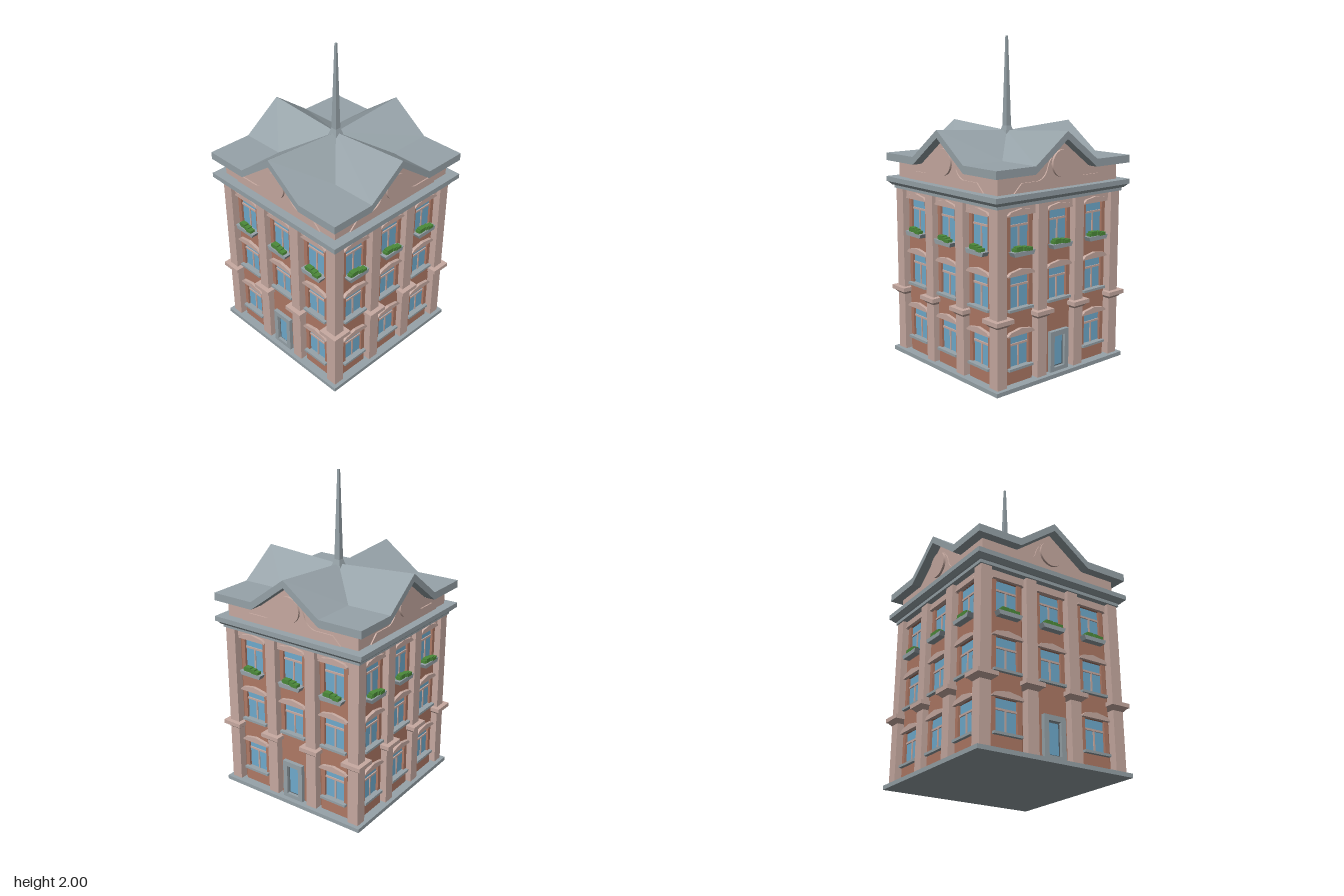
import * as THREE from 'three';

const colour = (name, hex) => {
  const m = new THREE.MeshStandardMaterial({ color: hex });
  m.name = name;
  return m;
};

export function createModel() {
  const slate = colour('slate grey', 0x97a3a9);
  const stone = colour('pink stone', 0xc8aba2);
  const brick = colour('brick', 0xb07a66);
  const darkBrick = colour('dark brick', 0x9a6753);
  const glass = colour('window glass', 0x70acce);
  const iron = colour('dark grey', 0x59656b);
  const leaf = colour('leaf green', 0x4c8a3a);

  const model = new THREE.Group();
  model.name = 'townHouse';

  const add = (parent, name, geometry, material) => {
    const mesh = new THREE.Mesh(geometry, material);
    mesh.name = name;
    parent.add(mesh);
    return mesh;
  };
  const box = (parent, name, mat, x0, x1, y0, y1, z0, z1) =>
    add(parent, name, new THREE.BoxGeometry(x1 - x0, y1 - y0, z1 - z0), mat)
      .position.set((x0 + x1) / 2, (y0 + y1) / 2, (z0 + z1) / 2);
  // square block with different top and bottom sizes, flat sides
  const taper = (parent, name, mat, x, y0, y1, z, halfTop, halfBottom) => {
    const g = new THREE.CylinderGeometry(halfTop * Math.SQRT2, halfBottom * Math.SQRT2, y1 - y0, 4)
      .rotateY(Math.PI / 4).toNonIndexed();
    g.computeVertexNormals();
    add(parent, name, g, mat).position.set(x, (y0 + y1) / 2, z);
  };
  const outline = (points) => new THREE.Shape(points.map(([x, y]) => new THREE.Vector2(x, y)));
  const extrude = (shape, z0, z1) =>
    new THREE.ExtrudeGeometry(shape, { depth: z1 - z0, bevelEnabled: false, curveSegments: 10 }).translate(0, 0, z0);
  const rect = (Type, x0, x1, y0, y1) => {
    const p = new Type();
    p.moveTo(x0, y0).lineTo(x1, y0).lineTo(x1, y1).lineTo(x0, y1).closePath();
    return p;
  };

  // plinth, core and cornice
  box(model, 'plinth', slate, -0.515, 0.515, 0, 0.025, -0.515, 0.515);
  box(model, 'core', darkBrick, -0.44, 0.44, 0.025, 1.09, -0.44, 0.44);
  box(model, 'corniceLower', slate, -0.5, 0.5, 1.065, 1.085, -0.5, 0.5);
  taper(model, 'corniceCove', slate, 0, 1.085, 1.107, 0, 0.53, 0.51);
  box(model, 'corniceSlab', slate, -0.535, 0.535, 1.107, 1.137, -0.535, 0.535);

  const pilaster = (parent, x) => {
    const g = new THREE.Group();
    g.name = 'pilaster';
    parent.add(g);
    box(g, 'shaft', stone, x - 0.036, x + 0.036, 0.025, 1.08, 0.42, 0.49);
    taper(g, 'capTaper', stone, x, 0.388, 0.41, 0.455, 0.058, 0.038);
    box(g, 'cap', stone, x - 0.065, x + 0.065, 0.41, 0.435, 0.39, 0.52);
  };

  const lintel = extrude(outline([[-0.1, 0], [0.1, 0], [0.1, 0.008], [0.08, 0.024], [0, 0.038],
    [-0.08, 0.024], [-0.1, 0.008]]), 0.45, 0.48);

  const window_ = (parent, x, y0, y1, planter) => {
    const g = new THREE.Group();
    g.name = 'window';
    g.position.x = x;
    parent.add(g);
    const t = y1 - 0.06;
    box(g, 'pane', glass, -0.072, 0.072, y0, y1, 0.438, 0.445);
    box(g, 'transom', stone, -0.07, 0.07, t - 0.006, t + 0.006, 0.444, 0.452);
    box(g, 'mullion', stone, -0.005, 0.005, y0, t, 0.444, 0.451);
    add(g, 'lintel', lintel, stone).position.y = y1;
    if (!planter) {
      box(g, 'sill', slate, -0.092, 0.092, y0 - 0.011, y0 + 0.004, 0.44, 0.482);
      return;
    }
    // trough with clipped plants
    add(g, 'planter', extrude(outline([[-0.07, 0.782], [0.07, 0.782], [0.082, 0.808], [-0.082, 0.808]]), 0.45, 0.503), slate);
    [[-0.06, -0.02, 0.826], [-0.05, -0.005, 0.836], [0, 0.03, 0.832], [0.015, 0.06, 0.825]].forEach(([a, b, h], i) =>
      box(g, 'plant', leaf, a, b, 0.805, h, 0.46 + 0.003 * i, 0.491 + 0.004 * i));
  };

  const floors = [[0.12, 0.315], [0.47, 0.665], [0.8, 1.01]];

  // raised ornament of the gable, mirrored about the middle
  const ornament = new THREE.Shape();
  ornament.moveTo(-0.36, 1.137).lineTo(-0.305, 1.19).lineTo(-0.18, 1.19)
    .quadraticCurveTo(-0.13, 1.2, -0.11, 1.25).quadraticCurveTo(-0.09, 1.33, 0, 1.375)
    .quadraticCurveTo(0.09, 1.33, 0.11, 1.25).quadraticCurveTo(0.13, 1.2, 0.18, 1.19)
    .lineTo(0.305, 1.19).lineTo(0.36, 1.137).closePath();
  const gableWall = outline([[-0.475, 1.13], [0.475, 1.13], [0.475, 1.24], [0.235, 1.24],
    [0, 1.412], [-0.235, 1.24], [-0.475, 1.24]]);

  for (let k = 0; k < 4; k++) {
    const side = new THREE.Group();
    side.name = ['frontSide', 'leftSide', 'backSide', 'rightSide'][k];
    side.rotation.y = k * Math.PI / 2;
    model.add(side);
    const hasDoor = k % 2 === 0;

    // three bays of brickwork with openings
    for (const x of [-0.3, 0, 0.3]) {
      const wall = rect(THREE.Shape, x - 0.097, x + 0.097, 0.025, 1.02);
      floors.forEach(([y0, y1], f) => {
        if (hasDoor && x === 0 && f === 0) return;
        wall.holes.push(rect(THREE.Path, x - 0.07, x + 0.07, y0, y1));
        window_(side, x, y0, y1, f === 2);
      });
      add(side, 'brickBay', extrude(wall, 0.43, 0.46), brick);
      box(side, 'frieze', stone, x - 0.12, x + 0.12, 1.015, 1.07, 0.43, 0.463);
    }

    if (hasDoor) {
      const frame = rect(THREE.Shape, -0.073, 0.073, 0.025, 0.275);
      frame.holes.push(rect(THREE.Path, -0.042, 0.042, 0.05, 0.243));
      add(side, 'doorFrame', extrude(frame, 0.45, 0.485), slate);
      box(side, 'doorLeaf', iron, -0.043, 0.043, 0.045, 0.245, 0.455, 0.466);
      box(side, 'doorGlass', glass, -0.032, 0.032, 0.058, 0.235, 0.465, 0.469);
    }

    pilaster(side, -0.1475);
    pilaster(side, 0.1475);
    pilaster(side, 0.455);

    // gable end
    if (k < 2) add(side, 'gableWalls', extrude(gableWall, -0.475, 0.475), stone);
    add(side, 'gableOrnament', extrude(ornament, 0.47, 0.483), stone);
    add(side, 'gableRoundel', new THREE.CylinderGeometry(0.08, 0.08, 0.03, 24).rotateX(Math.PI / 2), stone)
      .position.set(0, 1.277, 0.482);

    // quarter of the cross-shaped roof
    const e = 0.532, v = 0.245, low = 1.285, thick = 0.047;
    const C = [0, 1.43, 0], R = [0, 1.465, e], V = [v, low, v], E = [v, low, e], K = [e, low, e], S = [e, low, v];
    const flip = ([x, y, z]) => [-x, y, z];
    const down = ([x, y, z]) => [x, y - thick, z];
    const pos = [];
    const quad = (a, b, c, d) => pos.push(...a, ...b, ...c, ...a, ...c, ...d);
    const plate = (a, b, c, d) => {
      quad(a, b, c, d);
      quad(down(d), down(c), down(b), down(a));
    };
    plate(R, E, V, C);
    plate(C, flip(V), flip(E), R);
    plate(V, E, K, S);
    const edge = [flip(K), flip(E), R, E, K];
    for (let i = 0; i < 4; i++) quad(down(edge[i]), down(edge[i + 1]), edge[i + 1], edge[i]);
    const roof = new THREE.BufferGeometry();
    roof.setAttribute('position', new THREE.Float32BufferAttribute(pos, 3));
    roof.computeVertexNormals();
    add(side, 'roof', roof, slate);
  }

  // spire
  taper(model, 'spireFoot', slate, 0, 1.4, 1.46, 0, 0.019, 0.036);
  taper(model, 'spire', slate, 0, 1.46, 2, 0, 0.006, 0.019);

  return model;
}
